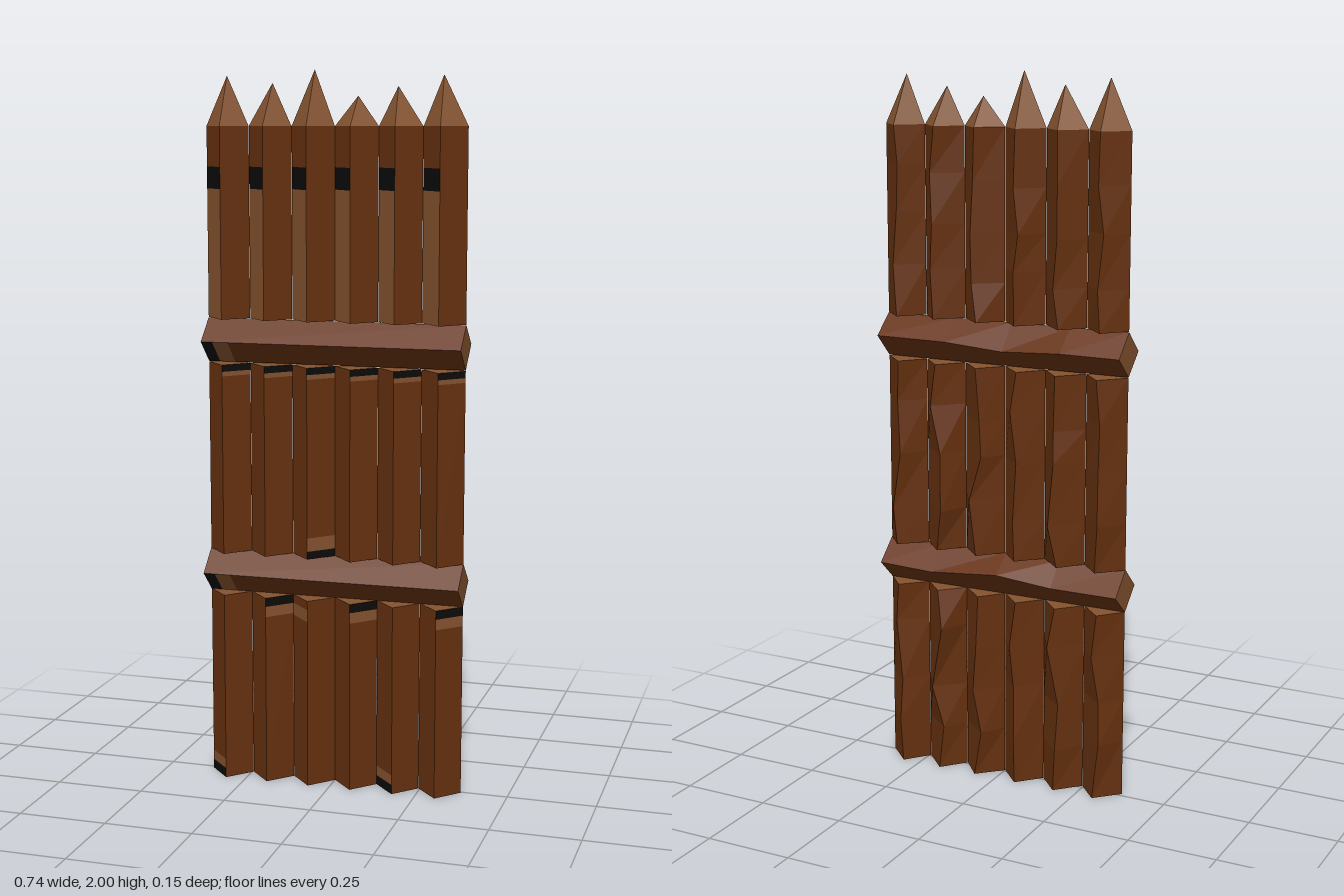
import * as THREE from 'three';

const wood = new THREE.MeshStandardMaterial({ color: 0x66310f, flatShading: true });
wood.name = 'wood';
const cutWood = new THREE.MeshStandardMaterial({ color: 0x85532f, flatShading: true });
cutWood.name = 'cut wood';
const char = new THREE.MeshStandardMaterial({ color: 0x0c0b0a, flatShading: true });
char.name = 'charred wood';
const materials = [wood, cutWood, char];
const WOOD = 0, CUT = 1, CHAR = 2;

const HALF = 0.0612, DEPTH = 0.065;
const STEP = 0.1227;
const zAt = x => 0.008 - 0.0108 * x; // the fence is turned very slightly

// Repeatable roughness in -1..1
const rough = n => {
  const s = Math.sin(n * 127.1 + 11.7) * 43758.5453;
  return 2 * (s - Math.floor(s)) - 1;
};

// Collects triangles by material and turns them into one mesh
function builder(name, flip) {
  const lists = [[], [], []];
  const tri = (m, a, b, c) => lists[m].push(...a, ...(flip ? c : b), ...(flip ? b : c));
  const quad = (m, a, b, c, d) => { tri(m, a, b, c); tri(m, a, c, d); };
  const mesh = () => {
    const g = new THREE.BufferGeometry();
    g.setAttribute('position', new THREE.Float32BufferAttribute(lists.flat(), 3));
    let start = 0;
    lists.forEach((l, i) => {
      if (l.length) g.addGroup(start, l.length / 3, i);
      start += l.length / 3;
    });
    g.computeVertexNormals();
    const result = new THREE.Mesh(g, materials);
    result.name = name;
    return result;
  };
  return { tri, quad, mesh };
}

// Diamond beam from s0 to s1. at(s, across, depth) places a point.
// Bands are [end, material] along each front face; back is a rough ridge of [s, across, depth].
function beam(b, at, s0, s1, negBands, posBands, back, capEnd = true) {
  const neg = s => at(s, -HALF, 0), pos = s => at(s, HALF, 0), front = s => at(s, 0, DEPTH);
  let s = s0;
  for (const [end, m] of negBands) {
    b.quad(m, neg(s), front(s), front(end), neg(end));
    s = end;
  }
  s = s0;
  for (const [end, m] of posBands) {
    b.quad(m, front(s), pos(s), pos(end), front(end));
    s = end;
  }
  for (let i = 1; i < back.length; i++) {
    const p = back[i - 1], q = back[i];
    b.quad(WOOD, at(...p), neg(p[0]), neg(q[0]), at(...q));
    b.quad(WOOD, pos(p[0]), at(...p), at(...q), pos(q[0]));
  }
  b.quad(CUT, neg(s0), at(...back[0]), pos(s0), front(s0));
  if (capEnd) b.quad(CUT, neg(s1), front(s1), pos(s1), at(...back[back.length - 1]));
}

// Rough back ridge with inner points pushed about
function ridge(s0, s1, seed, sway, bulge) {
  const points = [];
  for (let i = 0; i <= 4; i++) {
    const end = i === 0 || i === 4;
    const t = i / 4 + (end ? 0 : 0.05 * rough(seed + i * 7));
    points.push([
      s0 + (s1 - s0) * t,
      sway * rough(seed + i * 3.3) * (end ? 0.5 : 1),
      -DEPTH + bulge * rough(seed + i * 5.9) * (end ? 0.2 : 1),
    ]);
  }
  return points;
}

export function createModel() {
  const fence = new THREE.Group();
  fence.name = 'palisadeFence';
  const tipY = [1.985, 1.965, 2.0, 1.93, 1.955, 1.985];
  const tipX = [0, 0.008, 0.005, 0.004, -0.008, -0.006];

  tipY.forEach((top, i) => {
    const x = (i - 2.5) * STEP, zc = zAt(x);
    const at = (y, across, depth) => [x + across, y, zc + depth];
    const stake = new THREE.Group();
    stake.name = 'stake' + (i + 1);

    // Lower length with charred ends on some faces
    const lower = builder('lowerStake');
    const lowerNeg = i === 0 || i === 4 ? [[0.027, CHAR], [0.055, CUT], [0.54, WOOD]]
      : i === 2 ? [[0.48, WOOD], [0.515, CUT], [0.54, WOOD]] : [[0.54, WOOD]];
    const lowerPos = i % 2 ? [[0.485, WOOD], [0.515, CUT], [0.54, CHAR]] : [[0.54, WOOD]];
    const lowerRidge = ridge(0, 0.54, i * 31 + 1, 0.018, 0.01);
    if (i === 1 || i === 4) lowerRidge[3] = [0.43, i === 1 ? 0.014 : -0.022, -0.082];
    beam(lower, at, 0, 0.54, lowerNeg, lowerPos, lowerRidge);

    // Middle length between the rails
    const middle = builder('middleStake');
    const middlePos = [[1.165, WOOD], [1.178, CUT], [1.197, CHAR]];
    if (i === 2) middlePos.unshift([0.682, CHAR], [0.72, CUT]);
    const middleRidge = ridge(0.66, 1.197, i * 31 + 12, 0.018, 0.01);
    if (i === 1 || i === 4) middleRidge[1] = [0.78, i === 1 ? 0.014 : -0.022, -0.082];
    beam(middle, at, 0.66, 1.197, [[1.197, WOOD]], middlePos, middleRidge);

    // Upper length, with a pale and a charred band on the left of each face
    const upper = builder('upperStake');
    const upperRidge = ridge(1.323, 1.85, i * 31 + 23, 0.016, 0.007);
    upperRidge[4] = [1.85, 0, -DEPTH];
    beam(upper, at, 1.323, 1.85, [[1.68, CUT], [1.74, CHAR], [1.85, WOOD]], [[1.85, WOOD]], upperRidge, false);

    // Sharpened tip
    const tip = builder('sharpenedTip');
    const rim = [[-HALF, 0], [0, DEPTH], [HALF, 0], [0, -DEPTH]].map(p => at(1.85, ...p));
    rim.forEach((p, k) => tip.tri(CUT, p, rim[(k + 1) % 4], at(top, tipX[i], 0)));

    stake.add(lower.mesh(), middle.mesh(), upper.mesh(), tip.mesh());
    fence.add(stake);
  });

  // Cross rails: the same diamond beam laid along x
  [['lowerRail', 0.6, 5], ['upperRail', 1.26, 9]].forEach(([name, y, seed]) => {
    const rail = builder(name, true);
    const at = (x, across, depth) => [x, y + across, zAt(x) + depth];
    beam(rail, at, -0.368, 0.368, [[-0.335, CHAR], [-0.29, CUT], [0.368, WOOD]], [[0.368, WOOD]],
      ridge(-0.368, 0.368, seed, 0.012, 0.006));
    fence.add(rail.mesh());
  });
  return fence;
}
